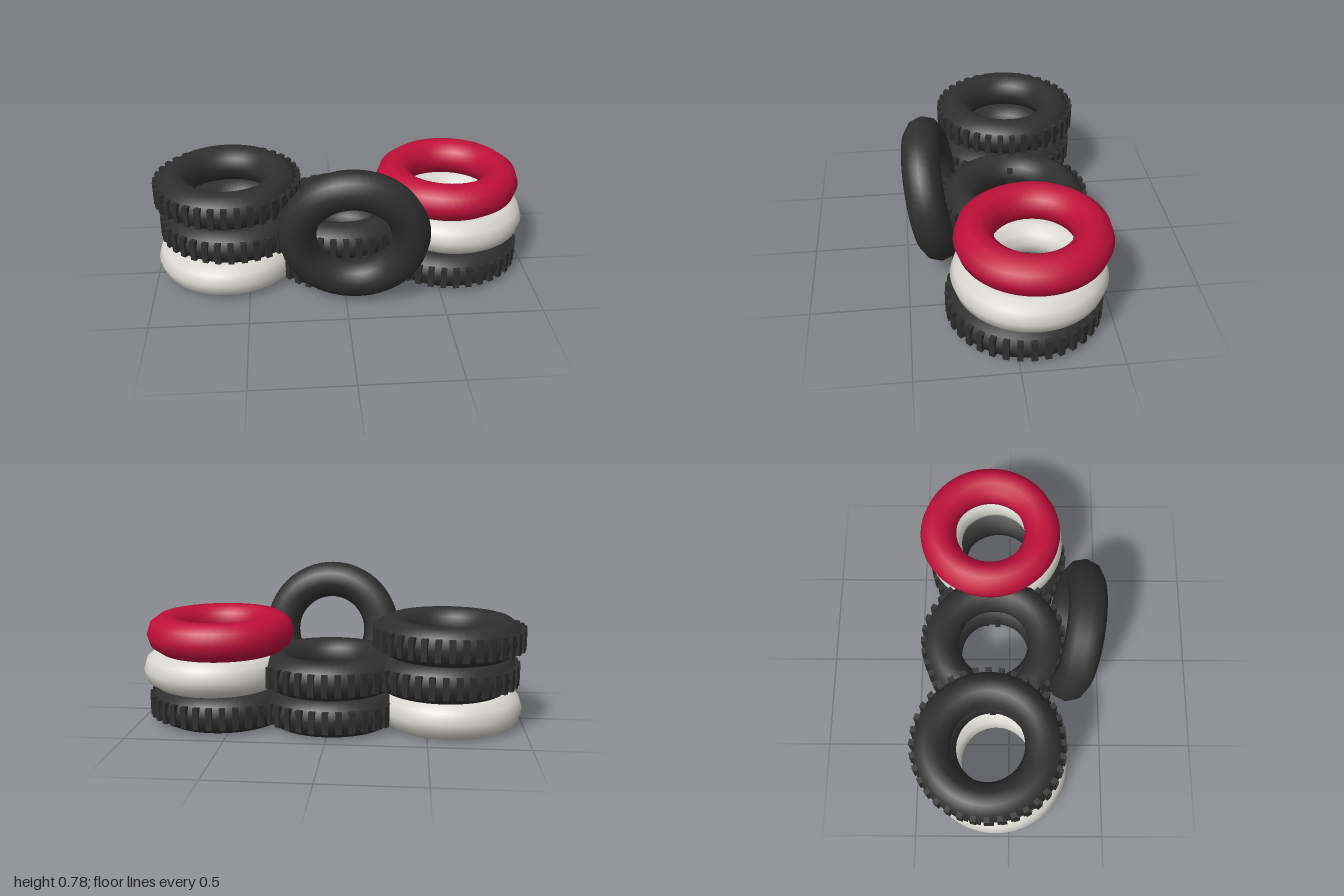
import * as THREE from 'three';

const RING = 0.285, TUBE = 0.098, TREADS = 36;

function material(name, color) {
  const m = new THREE.MeshStandardMaterial({ color });
  m.name = name;
  return m;
}

export function createModel() {
  const black = material('black rubber', 0x2f2f2f);
  const white = material('white paint', 0xd8d6cf);
  const red = material('red paint', 0xc0103a);

  // Ten-sided smooth ring, axis along z
  const ringGeometry = new THREE.TorusGeometry(RING, TUBE, 10, 64);
  const treadGeometry = new THREE.BoxGeometry(0.05, 0.03, 0.11);

  // One tyre lying in its own xy plane, with optional tread blocks
  function tyre(name, mat, treaded) {
    const group = new THREE.Group();
    group.name = name;
    const ring = new THREE.Mesh(ringGeometry, mat);
    ring.name = 'tyreRing';
    group.add(ring);
    for (let i = 0; treaded && i < TREADS; i++) {
      const a = (i / TREADS) * Math.PI * 2;
      const block = new THREE.Mesh(treadGeometry, mat);
      block.name = 'treadBlock';
      block.position.set(Math.cos(a) * 0.367, Math.sin(a) * 0.367, 0);
      block.rotation.z = a;
      group.add(block);
    }
    return group;
  }

  const model = new THREE.Group();
  model.name = 'tyreStack';

  // Flat tyres: name, material, treaded, x, layer, z
  const stacked = [
    ['rightBottomTyre', white, false, -0.612, 0, -0.07],
    ['rightMiddleTyre', black, true, -0.582, 1, -0.09],
    ['rightTopTyre', black, true, -0.606, 2, -0.106],
    ['centreBottomTyre', black, true, 0, 0, -0.082],
    ['centreTopTyre', black, true, 0.003, 1, -0.087],
    ['leftBottomTyre', black, true, 0.58, 0, -0.068],
    ['leftMiddleTyre', white, false, 0.61, 1, -0.087],
    ['leftTopTyre', red, false, 0.581, 2, -0.108],
  ];
  for (const [name, mat, treaded, x, layer, z] of stacked) {
    const t = tyre(name, mat, treaded);
    t.rotation.x = Math.PI / 2;
    t.position.set(x, 0.095 + layer * 0.189, z);
    model.add(t);
  }

  // Upright tyre in front, tilted and slightly turned
  const upright = tyre('uprightTyre', black, false);
  const normal = new THREE.Vector3(-0.09, -0.17, 1).normalize();
  upright.quaternion.setFromUnitVectors(new THREE.Vector3(0, 0, 1), normal);
  upright.position.set(0.037, 0.4, 0.347);
  model.add(upright);

  return model;
}
